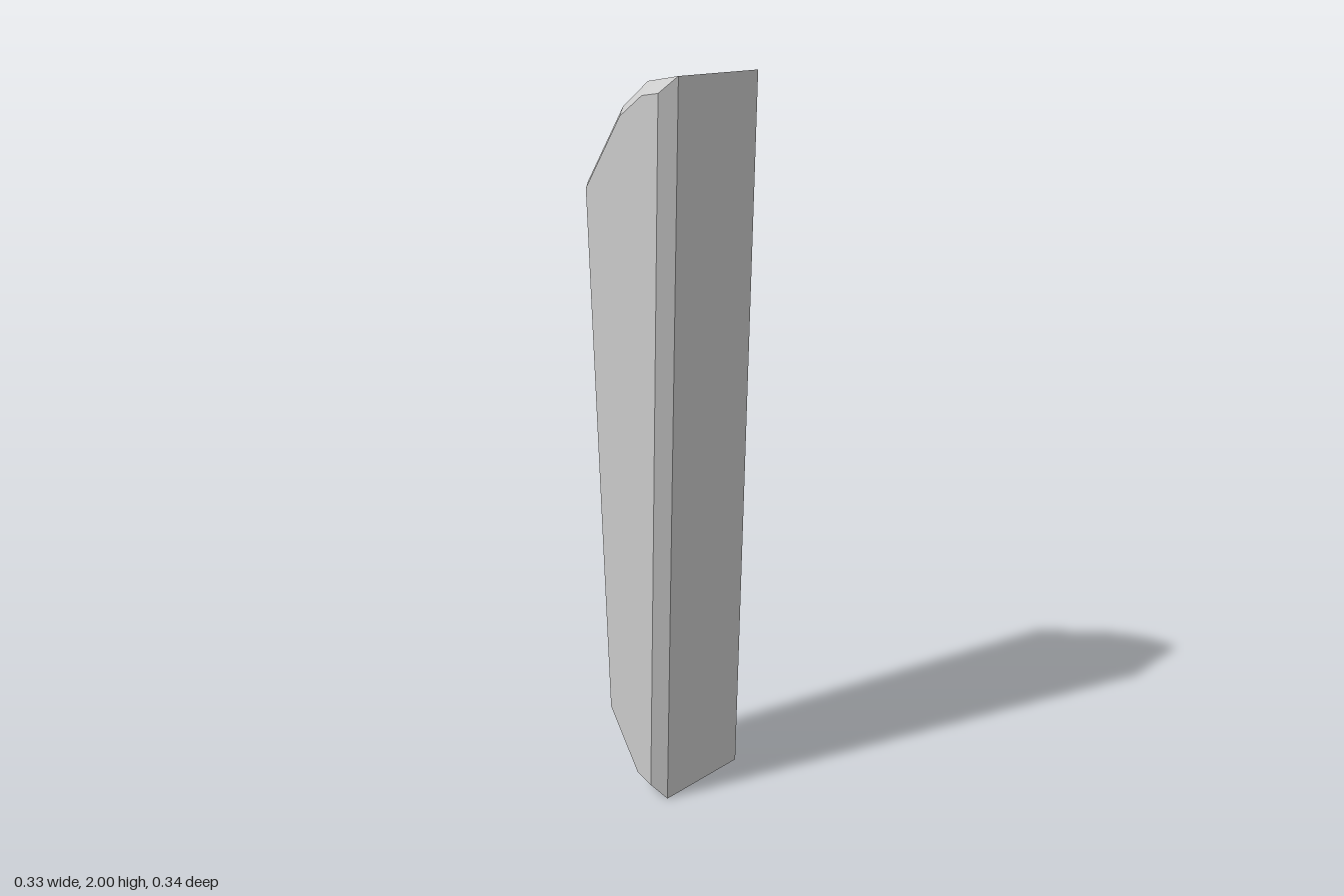
import * as THREE from 'three';
import { toCreasedNormals } from 'three/addons/utils/BufferGeometryUtils.js';

// Side outline, counter-clockwise seen from the front: full size and bevelled-in
const outer = [[0.125, 0], [0.165, 2], [0.06, 1.98], [-0.03, 1.912], [-0.167, 1.71], [-0.103, 0.22], [0.02, 0.037]];
const inner = [[0.094, 0.046], [0.132, 1.96], [0.075, 1.95], [-0.005, 1.893], [-0.136, 1.7], [-0.07, 0.23], [0.04, 0.063]];

// Cross-sections from front to back; the back is slightly smaller
const sections = [
  { outline: inner, z: 0.172, sx: 1, sy: 1 },
  { outline: outer, z: 0.137, sx: 1, sy: 1 },
  { outline: outer, z: -0.142, sx: 0.976, sy: 0.994 },
  { outline: inner, z: -0.173, sx: 0.965, sy: 0.994 },
];

function loft() {
  const n = outer.length;
  const positions = [];
  const index = [];
  for (const { outline, z, sx, sy } of sections) {
    for (const [x, y] of outline) positions.push(x * sx, 1 + (y - 1) * sy, z);
  }
  // Walls between neighbouring sections
  for (let s = 0; s < sections.length - 1; s++) {
    for (let i = 0; i < n; i++) {
      const j = (i + 1) % n;
      const a = s * n + i, b = s * n + j, c = a + n, d = b + n;
      index.push(a, c, b, b, c, d);
    }
  }
  // Flat front and back
  const last = (sections.length - 1) * n;
  for (let i = 1; i < n - 1; i++) {
    index.push(0, i, i + 1);
    index.push(last, last + i + 1, last + i);
  }
  const geometry = new THREE.BufferGeometry();
  geometry.setAttribute('position', new THREE.Float32BufferAttribute(positions, 3));
  geometry.setIndex(index);
  return toCreasedNormals(geometry, THREE.MathUtils.degToRad(30));
}

export function createModel() {
  const group = new THREE.Group();
  group.name = 'bevelledBar';
  const bar = new THREE.Mesh(loft(), new THREE.MeshStandardMaterial({ color: 0xcccccc }));
  bar.name = 'bar';
  group.add(bar);
  return group;
}
